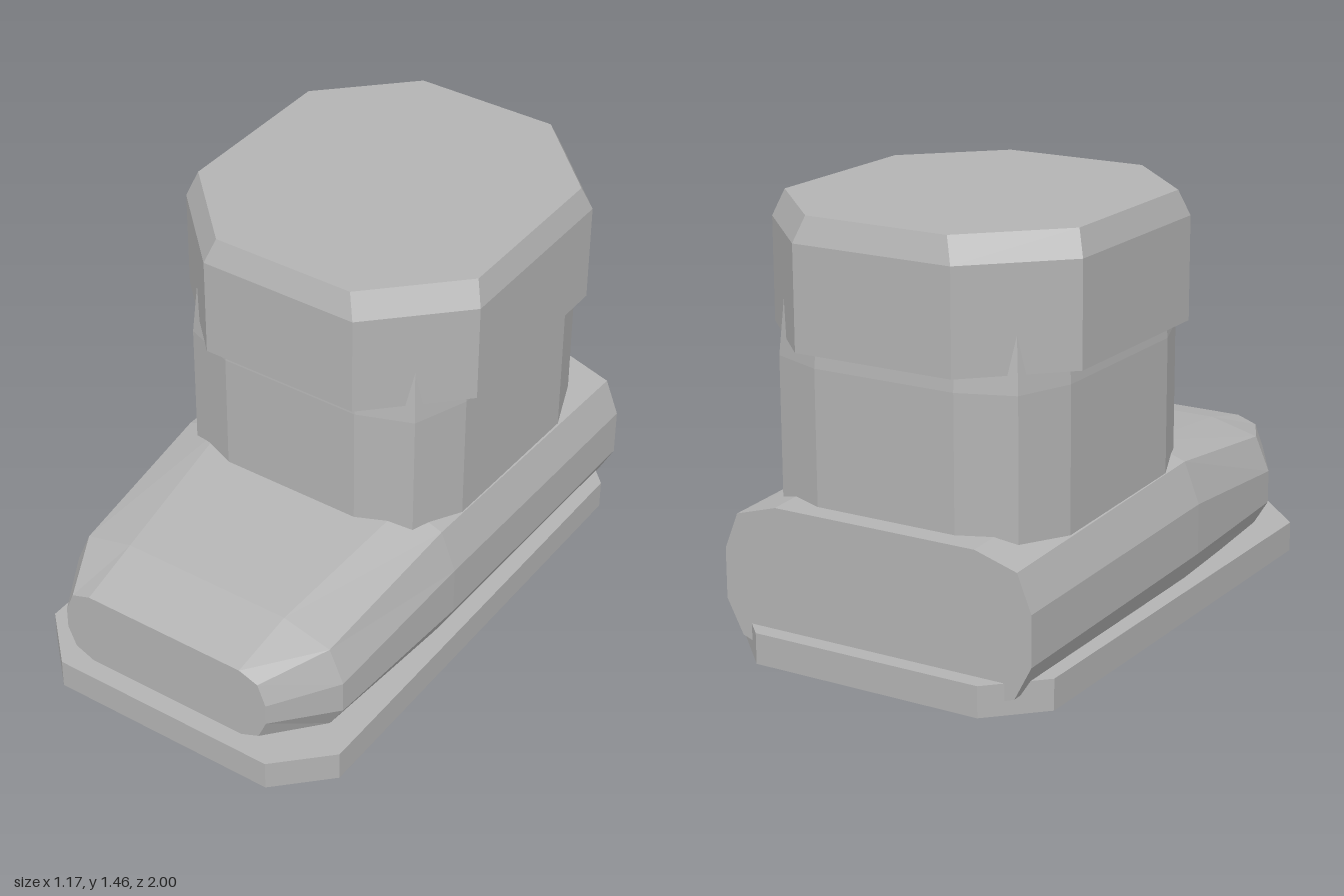
import * as THREE from 'three';

const grey = new THREE.MeshStandardMaterial({ color: 0xb3b3b3, flatShading: true });
grey.name = 'grey';

// Right-hand half outline plus its mirror image across x = 0
const mirrored = (half) => [...half, ...half.map(([x, v]) => [-x, v]).reverse()];

// Closed solid through rings of 3D points, each anticlockwise seen from the last ring's side
function loft(name, rings) {
  const pos = [];
  const tri = (...pts) => pts.forEach((p) => pos.push(...p));
  const n = rings[0].length;
  for (let i = 0; i < rings.length - 1; i++) {
    for (let j = 0; j < n; j++) {
      const k = (j + 1) % n;
      const [a, b, c, d] = [rings[i][j], rings[i][k], rings[i + 1][k], rings[i + 1][j]];
      tri(a, b, c);
      tri(a, c, d);
    }
  }
  const first = rings[0], last = rings[rings.length - 1];
  for (let j = 1; j < n - 1; j++) {
    tri(first[0], first[j + 1], first[j]);
    tri(last[0], last[j], last[j + 1]);
  }
  const geo = new THREE.BufferGeometry();
  geo.setAttribute('position', new THREE.Float32BufferAttribute(pos, 3));
  geo.computeVertexNormals();
  const mesh = new THREE.Mesh(geo, grey);
  mesh.name = name;
  return mesh;
}

// Horizontal ring at height y around depth zc
const flatRing = (half, y, zc = 0, s = 1) => mirrored(half).map(([x, z]) => [x * s, y, zc + z * s]);
// Rectangle with cut corners: half sizes w, d and the flat half lengths fw, fd
const cutRect = (w, d, fw, fd) => [[fw, d], [w, fd], [w, -fd], [fw, -d]];

export function createModel() {
  const boot = new THREE.Group();
  boot.name = 'boot';

  // Flat sole
  const soleOutline = cutRect(0.585, 1, 0.415, 0.83);
  boot.add(loft('sole', [flatRing(soleOutline, 0), flatRing(soleOutline, 0.105)]));

  // Foot: upright sections from heel to toe, listed bottom to top
  const sections = [
    [-0.94, [[0.37, 0.01], [0.51, 0.06], [0.57, 0.175], [0.57, 0.345], [0.52, 0.47], [0.37, 0.515]]],
    [0.14, [[0.37, 0.05], [0.515, 0.095], [0.57, 0.2], [0.57, 0.375], [0.515, 0.515], [0.37, 0.565]]],
    [0.74, [[0.31, 0.075], [0.485, 0.115], [0.537, 0.2], [0.537, 0.315], [0.485, 0.435], [0.31, 0.48]]],
    [0.97, [[0.3, 0.15], [0.37, 0.18], [0.4, 0.25], [0.4, 0.325], [0.37, 0.4], [0.3, 0.425]]],
  ];
  boot.add(loft('foot', sections.map(([z, half]) => mirrored(half).map(([x, y]) => [x, y, z]))));

  // Ankle shaft, drawn in slightly inside the cuff
  const shaft = [[0.255, 0.57], [0.44, 0.5], [0.512, 0.31], [0.512, -0.31], [0.44, -0.5], [0.255, -0.57]];
  const levels = [[0.3, 1], [0.97, 1], [1.17, 0.968], [1.3, 0.9]];
  boot.add(loft('shaft', levels.map(([y, s]) => flatRing(shaft, y, -0.3, s))));

  // Eight-sided cuff with a bevelled top
  const cuff = cutRect(0.57, 0.627, 0.285, 0.343);
  const cuffTop = cutRect(0.54, 0.597, 0.255, 0.313);
  boot.add(loft('cuff', [flatRing(cuff, 1.03, -0.3), flatRing(cuff, 1.375, -0.3), flatRing(cuffTop, 1.46, -0.3)]));

  return boot;
}
